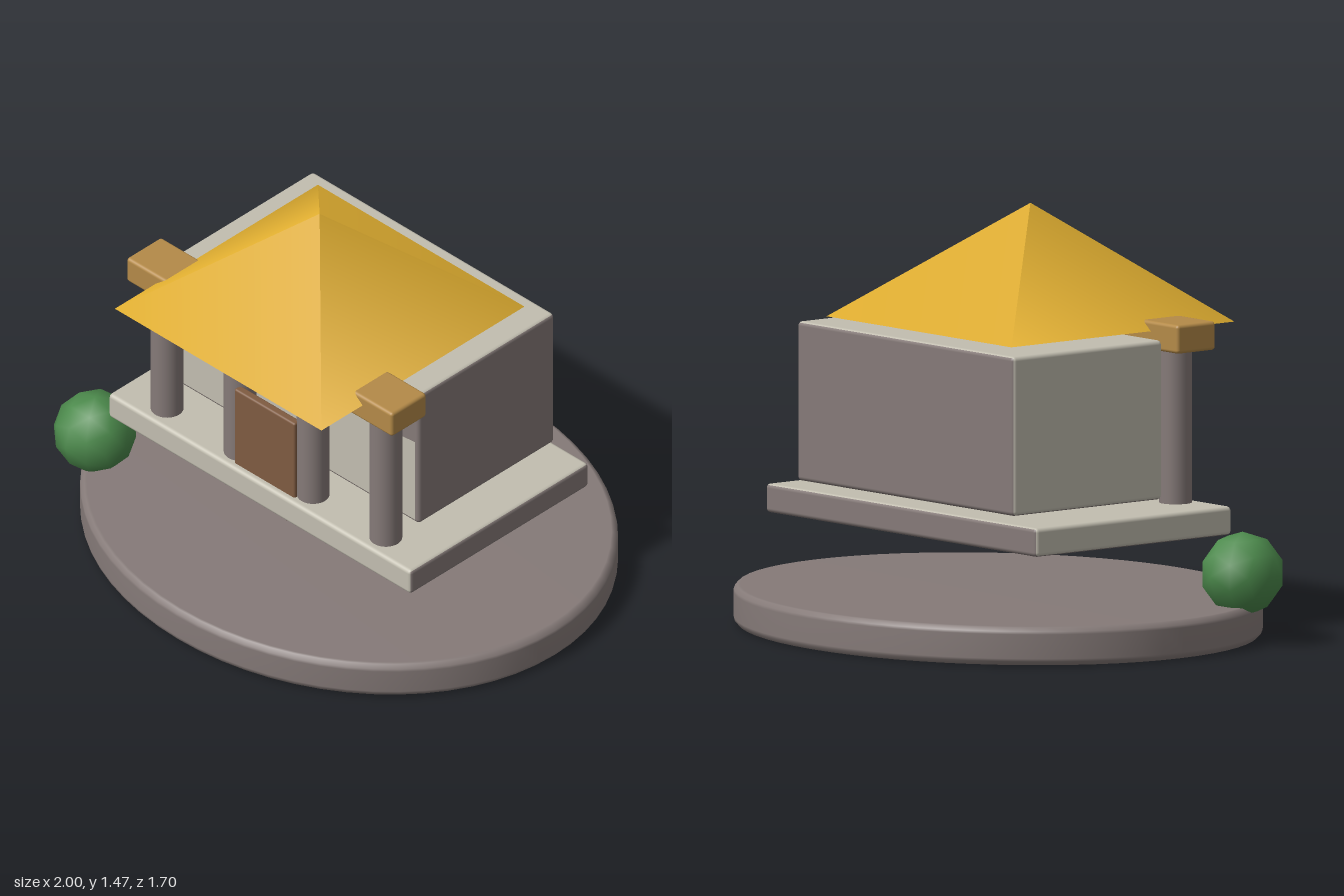
import * as THREE from 'three';
import { RoundedBoxGeometry } from 'three/addons/geometries/RoundedBoxGeometry.js';

const mat = (name, color) => {
  const m = new THREE.MeshStandardMaterial({ color });
  m.name = name;
  return m;
};

export function createModel() {
  const stone = mat('stone', 0x857a78);
  const cream = mat('cream', 0xc2beb0);
  const gold = mat('gold', 0xe0ae30);
  const timber = mat('timber', 0xb48a48);
  const wood = mat('wood', 0x7f5b41);
  const leaf = mat('leaf', 0x4c8a4c);

  const model = new THREE.Group();
  model.name = 'temple';
  const add = (name, geometry, material, x = 0, y = 0, z = 0) => {
    const mesh = new THREE.Mesh(geometry, material);
    mesh.name = name;
    mesh.position.set(x, y, z);
    model.add(mesh);
    return mesh;
  };
  // Softly bevelled box given by its lower and upper bounds
  const box = (name, material, [x0, y0, z0], [x1, y1, z1], bevel = 0.015) =>
    add(name, new RoundedBoxGeometry(x1 - x0, y1 - y0, z1 - z0, 3, bevel), material,
      (x0 + x1) / 2, (y0 + y1) / 2, (z0 + z1) / 2);

  // Oval ground disc with rounded rim
  const rim = [[0, 0], [0.975, 0], [0.985, 0.002], [0.998, 0.015], [1, 0.025],
    [1, 0.11], [0.998, 0.12], [0.985, 0.133], [0.975, 0.135], [0, 0.135]];
  const disc = add('groundDisc',
    new THREE.LatheGeometry(rim.map(([r, y]) => new THREE.Vector2(r, y)), 64), stone);
  disc.scale.z = 0.85;

  // Face order: +x, -x, top, bottom, front, back
  box('platform', [stone, cream, cream, stone, cream, stone],
    [-0.735, 0.365, -0.44], [0.73, 0.465, 0.44]);
  box('hall', [stone, cream, cream, stone, stone, stone],
    [-0.588, 0.49, -0.42], [0.583, 1.045, 0.25]);

  // Pale lower part of the hall's front wall
  const panel = new THREE.Shape([[-0.572, 0.505], [0.568, 0.505], [0.568, 0.84],
    [0.2, 0.8], [0.05, 0.785], [-0.572, 0.785]].map(([x, y]) => new THREE.Vector2(x, y)));
  add('frontPanel', new THREE.ShapeGeometry(panel), cream, 0, 0, 0.252);

  // Row of columns carrying the beam
  for (const x of [-0.532, -0.178, 0.175, 0.527]) {
    add('column', new THREE.CylinderGeometry(0.057, 0.057, 0.55, 32), stone, x, 0.735, 0.355);
  }
  box('beam', timber, [-0.645, 1.0, 0.27], [0.642, 1.1, 0.442], 0.012);
  box('door', wood, [-0.148, 0.345, 0.385], [0.146, 0.783, 0.417], 0.008);

  // Square pyramid roof
  const roof = new THREE.ConeGeometry(0.5 * Math.SQRT2, 0.405, 4);
  roof.rotateY(Math.PI / 4);
  add('roof', roof, gold, 0, 1.2675, 0.145);

  // Round bush at the edge of the disc
  add('bush', new THREE.IcosahedronGeometry(0.146, 1), leaf, -0.825, 0.243, 0.412);

  return model;
}
